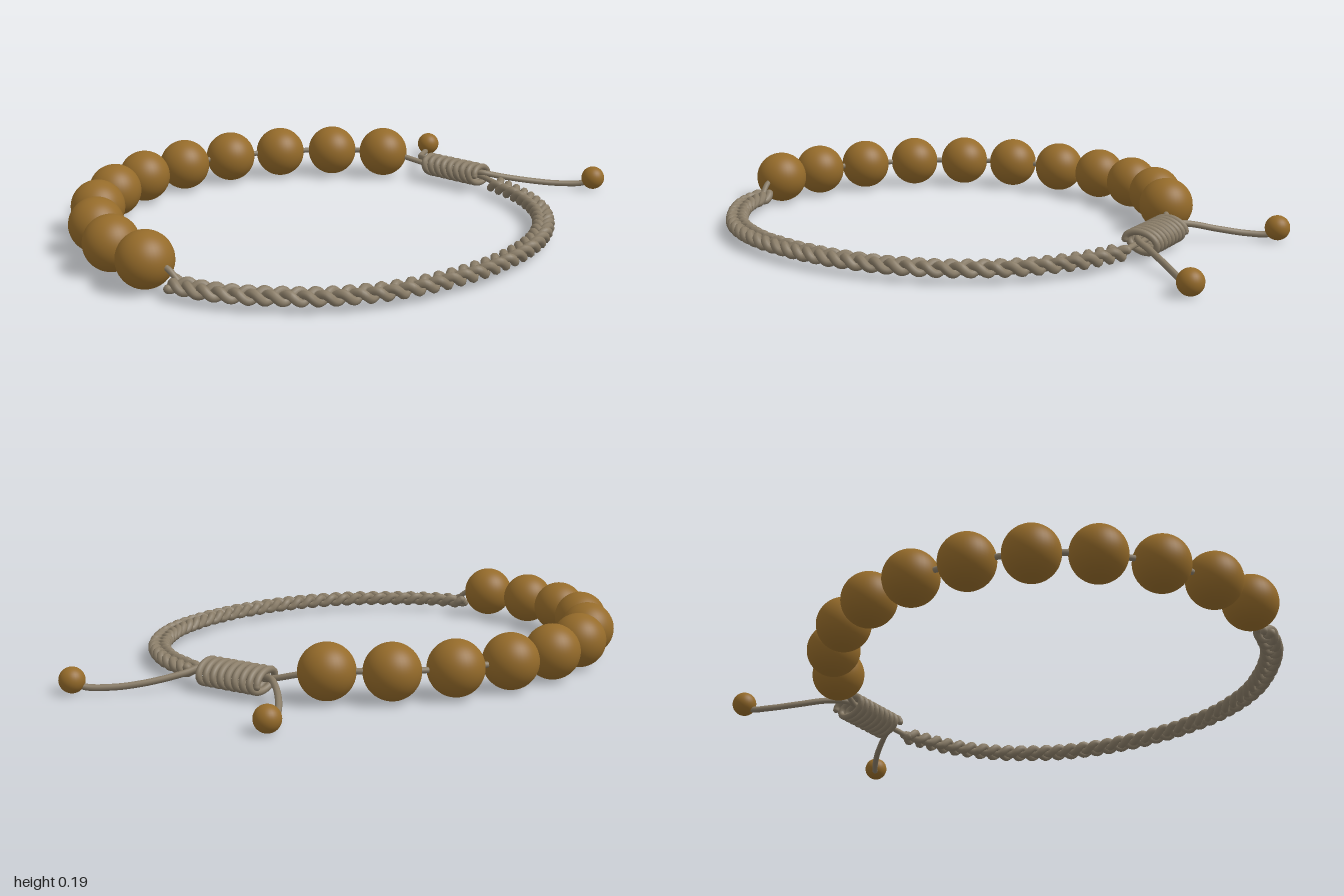
import * as THREE from 'three';

const V = (x, y, z) => new THREE.Vector3(x, y, z);
const UP = V(0, 1, 0);

export function createModel() {
  const model = new THREE.Group();
  model.name = 'beadedBracelet';

  const wood = new THREE.MeshStandardMaterial({ color: 0x956b2a });
  wood.name = 'brown bead';
  const cord = new THREE.MeshStandardMaterial({ color: 0x8a7d68 });
  cord.name = 'taupe cord';

  const add = (name, geometry, material, parent = model) => {
    const mesh = new THREE.Mesh(geometry, material);
    mesh.name = name;
    parent.add(mesh);
    return mesh;
  };

  // Round cord through a list of points, with rounded ends
  const addCord = (name, points, radius, segments, parent = model, sides = 10) => {
    const curve = new THREE.CatmullRomCurve3(points);
    add(name, new THREE.TubeGeometry(curve, segments, radius, sides), cord, parent);
    for (const end of [points[0], points[points.length - 1]]) {
      add(name + 'End', new THREE.SphereGeometry(radius, 10, 8), cord, parent).position.copy(end);
    }
  };

  // Large beads around the back of the loop
  const beadSpots = [
    [-0.91, 0.015], [-0.877, -0.185], [-0.787, -0.37], [-0.653, -0.527],
    [-0.483, -0.64], [-0.29, -0.703], [-0.083, -0.71], [0.117, -0.665],
    [0.298, -0.57], [0.453, -0.433], [0.568, -0.265],
  ].map(([x, z]) => V(x, 0.1, z));
  const beads = new THREE.Group();
  beads.name = 'beads';
  model.add(beads);
  const beadGeometry = new THREE.SphereGeometry(0.093, 40, 28);
  for (const spot of beadSpots) add('bead', beadGeometry, wood, beads).position.copy(spot);

  // Stringing cord through the beads, down to the braid and into the knot
  addCord('stringingCord', [
    V(-0.895, 0.055, 0.15), V(-0.903, 0.09, 0.11), ...beadSpots,
    V(0.605, 0.085, -0.18), V(0.635, 0.065, -0.09), V(0.65, 0.06, 0.03),
    V(0.65, 0.06, 0.15), V(0.632, 0.048, 0.25),
  ], 0.01, 220);

  // Three-strand flat braid around the front
  const braidPath = new THREE.CatmullRomCurve3([
    [-0.905, 0.13], [-0.872, 0.27], [-0.79, 0.415], [-0.66, 0.565], [-0.45, 0.69],
    [-0.12, 0.757], [0.19, 0.715], [0.43, 0.575], [0.56, 0.41], [0.632, 0.235],
  ].map(([x, z]) => V(x, 0.047, z)));
  const braid = new THREE.Group();
  braid.name = 'braid';
  model.add(braid);
  const periods = 13.5, steps = 270;
  for (let strand = 0; strand < 3; strand++) {
    const points = [];
    for (let i = 0; i <= steps; i++) {
      const t = i / steps;
      const a = (t * periods + strand / 3) * Math.PI * 2;
      const p = braidPath.getPointAt(t);
      const side = braidPath.getTangentAt(t).cross(UP).normalize();
      p.addScaledVector(side, 0.025 * Math.sin(a));
      p.y += 0.012 * Math.sin(2 * a);
      points.push(p);
    }
    addCord('braidStrand', points, 0.0145, 540, braid, 8);
  }

  // Sliding knot: oval coil wound around the cords
  const coil = [];
  const turns = 8.5, perTurn = 20;
  for (let i = 0; i <= turns * perTurn; i++) {
    const a = (i / perTurn) * Math.PI * 2;
    const z = -0.1 + 0.255 * (i / (turns * perTurn));
    coil.push(V(0.657 + 0.053 * Math.cos(a), 0.062 + 0.034 * Math.sin(a) - 0.008 * Math.cos(a), z));
  }
  addCord('slidingKnotCoil', coil, 0.0115, 400);

  // Loose tails, each ending in a small bead
  const tails = [
    [V(0.645, 0.065, 0.02), V(0.655, 0.075, -0.1), V(0.7, 0.066, -0.165), V(0.775, 0.042, -0.238),
      V(0.86, 0.025, -0.297), V(0.925, 0.025, -0.327), V(0.95, 0.047, -0.336)],
    [V(0.64, 0.065, 0.04), V(0.65, 0.075, 0.16), V(0.715, 0.055, 0.205), V(0.81, 0.032, 0.285),
      V(0.88, 0.022, 0.36), V(0.935, 0.026, 0.43), V(0.955, 0.047, 0.46)],
  ];
  for (const points of tails) {
    addCord('tailCord', points, 0.011, 60);
    add('tailBead', new THREE.SphereGeometry(0.043, 28, 20), wood).position.copy(points[points.length - 1]);
  }

  return model;
}
